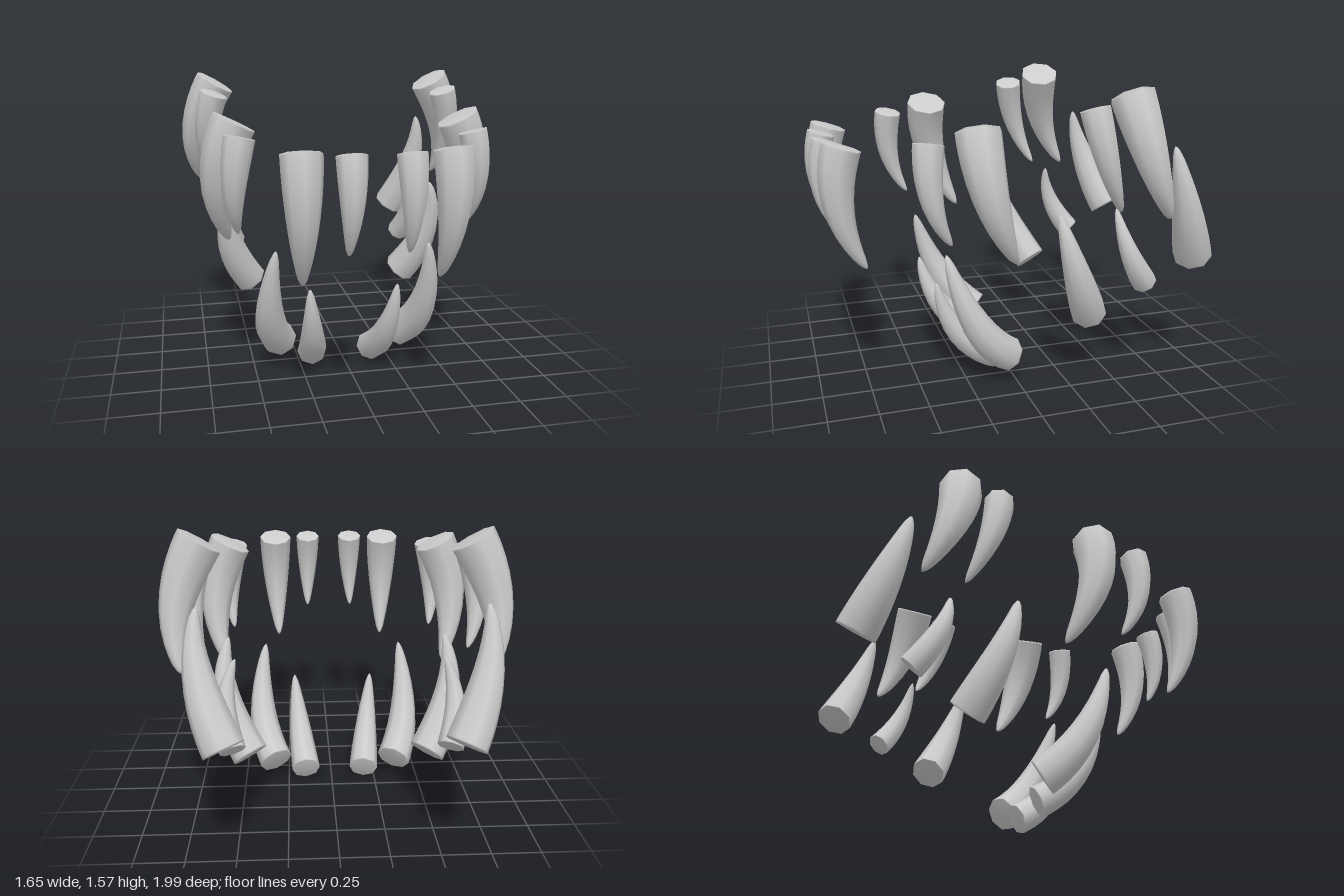
import * as THREE from 'three';

const SIDES = 8;
const RINGS = 14;

// Slow taper that closes in a rounded point
function taper(t) {
  const r = 1 - 0.85 * Math.pow(t, 1.7);
  const end = Math.max(0, (t - 0.9) / 0.1);
  return r * Math.sqrt(1 - end * end);
}

// Sweeps a tapering octagon along an arc from root through middle to tip
function toothGeometry(root, middle, tip, radius) {
  const control = middle.clone().multiplyScalar(2)
    .addScaledVector(root, -0.5).addScaledVector(tip, -0.5);
  const curve = new THREE.QuadraticBezierCurve3(root, control, tip);
  const positions = [];
  const index = [];
  const xAxis = new THREE.Vector3(1, 0, 0);
  for (let i = 0; i < RINGS; i++) {
    // Rings gather at the root, for a crisp rim, and at the tip
    const t = 0.98 * (1 - Math.cos((Math.PI * i) / (RINGS - 1))) / 2;
    const centre = curve.getPointAt(t);
    const tangent = curve.getTangentAt(t);
    const side = xAxis.clone().addScaledVector(tangent, -tangent.x).normalize();
    const up = tangent.clone().cross(side);
    const r = radius * taper(t);
    for (let j = 0; j < SIDES; j++) {
      const angle = (j / SIDES) * Math.PI * 2;
      const p = centre.clone()
        .addScaledVector(side, Math.cos(angle) * r)
        .addScaledVector(up, Math.sin(angle) * r);
      positions.push(p.x, p.y, p.z);
    }
  }
  positions.push(...root.toArray(), ...tip.toArray());

  // Walls, then the root cap and the point
  const last = (RINGS - 1) * SIDES;
  const rootIndex = RINGS * SIDES;
  for (let j = 0; j < SIDES; j++) {
    const k = (j + 1) % SIDES;
    for (let a = 0; a < last; a += SIDES) {
      index.push(a + j, a + k, a + SIDES + j, a + k, a + SIDES + k, a + SIDES + j);
    }
    index.push(rootIndex, k, j, last + j, last + k, rootIndex + 1);
  }
  const geometry = new THREE.BufferGeometry();
  geometry.setAttribute('position', new THREE.Float32BufferAttribute(positions, 3));
  geometry.setIndex(index);
  geometry.computeVertexNormals();
  return geometry;
}

export function createModel() {
  const model = new THREE.Group();
  model.name = 'teeth';
  const material = new THREE.MeshStandardMaterial({ color: 0xcccccc });

  function addJaw(name) {
    const jaw = new THREE.Group();
    jaw.name = name;
    model.add(jaw);
    return jaw;
  }

  // A left tooth and its reflection in the plane x = mirror
  function addPair(jaw, name, radius, root, middle, tip, mirror = -0.017) {
    for (const side of ['Left', 'Right']) {
      const [a, b, c] = [root, middle, tip].map(([x, y, z]) =>
        new THREE.Vector3(side === 'Left' ? x : 2 * mirror - x, y, z));
      const tooth = new THREE.Mesh(toothGeometry(a, b, c, radius), material);
      tooth.name = name + side;
      jaw.add(tooth);
    }
  }

  // Upper teeth, front to back
  const upper = addJaw('upperJaw');
  addPair(upper, 'upperInnerIncisor', 0.07, [0.115, 1.275, 0.9], [0.117, 1.045, 0.93], [0.12, 0.83, 0.87]);
  addPair(upper, 'upperOuterIncisor', 0.094, [0.318, 1.28, 0.845], [0.318, 0.975, 0.87], [0.305, 0.67, 0.75]);
  addPair(upper, 'upperFrontTooth', 0.074, [0.545, 1.31, 0.485], [0.578, 1.05, 0.48], [0.555, 0.83, 0.385]);
  addPair(upper, 'upperFang', 0.111, [0.55, 1.355, 0.255], [0.638, 1.035, 0.213], [0.58, 0.72, 0.075]);
  addPair(upper, 'upperMiddleTooth', 0.076, [0.65, 1.45, -0.27], [0.696, 1.18, -0.33], [0.64, 0.95, -0.43], 0);
  addPair(upper, 'upperBackTooth', 0.11, [0.63, 1.5, -0.465], [0.748, 1.19, -0.53], [0.72, 0.92, -0.65], 0);

  // Lower teeth, front to back
  const lower = addJaw('lowerJaw');
  addPair(lower, 'lowerIncisor', 0.08, [0.15, 0.06, 0.065], [0.183, 0.245, 0.284], [0.21, 0.525, 0.39]);
  addPair(lower, 'lowerFang', 0.093, [0.32, 0.13, 0.035], [0.398, 0.362, 0.236], [0.375, 0.73, 0.375]);
  addPair(lower, 'lowerFrontTooth', 0.094, [0.44, 0.365, -0.365], [0.563, 0.655, -0.232], [0.545, 0.94, -0.15]);
  addPair(lower, 'lowerMiddleTooth', 0.065, [0.505, 0.525, -0.645], [0.54, 0.72, -0.526], [0.49, 0.93, -0.475]);
  addPair(lower, 'lowerBackTooth', 0.1, [0.52, 0.655, -0.905], [0.631, 0.972, -0.782], [0.63, 1.255, -0.705]);
  return model;
}
